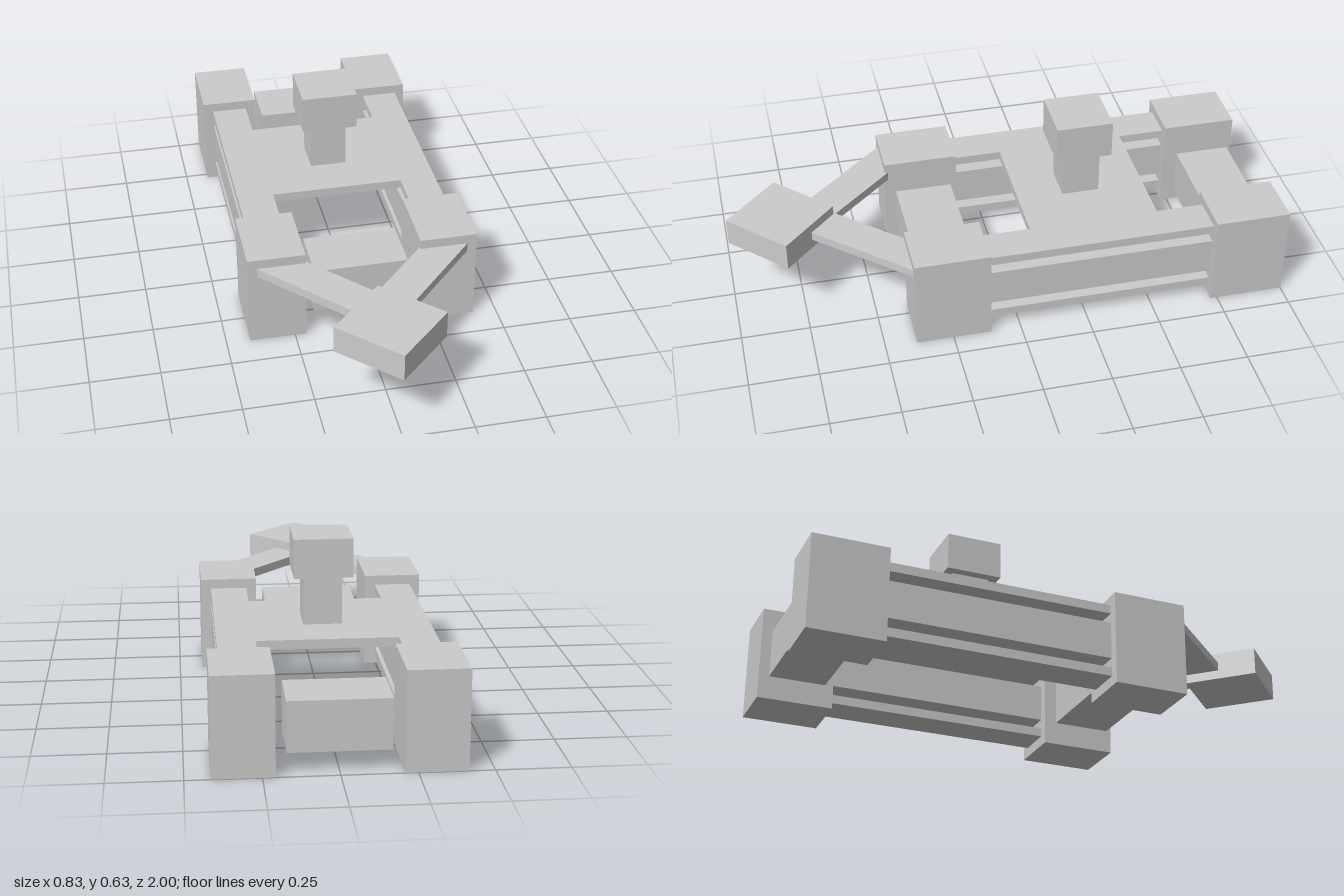
import * as THREE from 'three';

const material = new THREE.MeshStandardMaterial({ color: 0xcccccc, flatShading: true });

// Box given by its lower and upper corners
function box(name, [x0, y0, z0], [x1, y1, z1]) {
  const mesh = new THREE.Mesh(new THREE.BoxGeometry(x1 - x0, y1 - y0, z1 - z0), material);
  mesh.position.set((x0 + x1) / 2, (y0 + y1) / 2, (z0 + z1) / 2);
  mesh.name = name;
  return mesh;
}

// H-shaped deck: a wide middle plate with a strip running along each side
function deck() {
  const inner = 0.245, outer = 0.378, back = -0.725, front = 0.11, midBack = -0.55, midFront = -0.07;
  const outline = [
    [outer, back], [outer, front], [inner, front], [inner, midFront],
    [-inner, midFront], [-inner, front], [-outer, front], [-outer, back],
    [-inner, back], [-inner, midBack], [inner, midBack], [inner, back],
  ].map(([x, z]) => new THREE.Vector2(x, -z));
  const geometry = new THREE.ExtrudeGeometry(new THREE.Shape(outline), { depth: 0.033, bevelEnabled: false });
  geometry.rotateX(-Math.PI / 2);
  const mesh = new THREE.Mesh(geometry, material);
  mesh.position.y = 0.279;
  mesh.name = 'deck';
  return mesh;
}

export function createModel() {
  const model = new THREE.Group();
  model.add(deck());

  for (const [side, s] of [['left', 1], ['right', -1]]) {
    const pair = (name, x0, x1, y0, y1, z0, z1) =>
      model.add(box(side + name, [Math.min(s * x0, s * x1), y0, z0], [Math.max(s * x0, s * x1), y1, z1]));

    // Corner blocks
    pair('FrontCornerBlock', 0.208, 0.415, 0, 0.347, 0.11, 0.385);
    pair('BackCornerBlock', 0.208, 0.415, 0, 0.347, -1, -0.725);

    // Side rails below the deck
    pair('MiddleRail', 0.245, 0.378, 0.105, 0.243, -0.725, 0.11);
    pair('LowerRail', 0.245, 0.378, 0.037, 0.07, -0.725, 0.11);

    // Slanted arm reaching to the nose
    const arm = box(side + 'Arm', [-0.068, 0.279, -0.224], [0.068, 0.312, 0.224]);
    arm.position.x = s * 0.18;
    arm.position.z = 0.505;
    arm.rotation.y = -s * 0.737;
    model.add(arm);
  }

  // Blocks between the corner pairs
  model.add(box('frontCrossBlock', [-0.172, 0.07, 0.14], [0.172, 0.245, 0.35]));
  model.add(box('backCrossBlock', [-0.172, 0.07, -0.97], [0.172, 0.245, -0.765]));

  // Mast through the deck, with its head
  model.add(box('mast', [-0.068, 0.243, -0.376], [0.068, 0.488, -0.238]));
  model.add(box('mastHead', [-0.103, 0.488, -0.41], [0.103, 0.627, -0.204]));

  // Nose block turned onto its corner
  const nose = box('nose', [-0.1375, 0.245, -0.1375], [0.1375, 0.347, 0.1375]);
  nose.position.z = 0.805;
  nose.rotation.y = Math.PI / 4;
  model.add(nose);

  return model;
}
